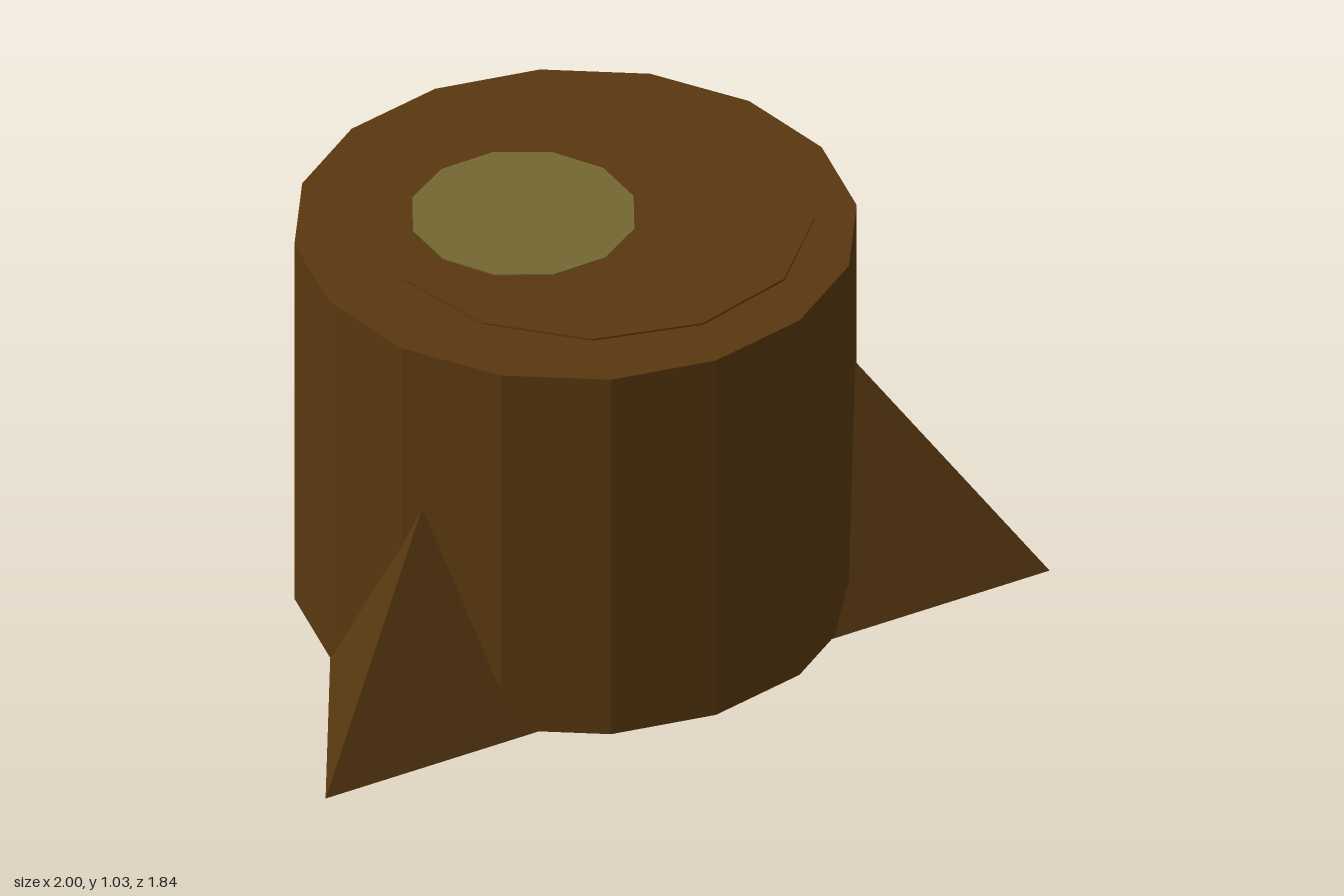
import * as THREE from 'three';

export function createModel() {
  const group = new THREE.Group();
  group.name = 'treeStump';

  const bark = new THREE.MeshStandardMaterial({ color: 0x59380f });
  bark.name = 'bark brown';
  const heart = new THREE.MeshStandardMaterial({ color: 0x746731 });
  heart.name = 'heartwood olive';

  // Faceted upright prism standing on height y, centred on (x, z)
  function prism(name, material, rTop, rBottom, height, sides, x, y, z, turn = 0) {
    const geometry = new THREE.CylinderGeometry(rTop, rBottom, height, sides)
      .rotateY(turn)
      .translate(0, height / 2, 0)
      .toNonIndexed();
    geometry.computeVertexNormals();
    const mesh = new THREE.Mesh(geometry, material);
    mesh.name = name;
    mesh.position.set(x, y, z);
    group.add(mesh);
    return mesh;
  }

  // Trunk
  prism('trunk', bark, 0.68, 0.68, 1.02, 16, -0.01, 0.005, 0.235);

  // Three pointed roots: corners of one tapering three-sided block through the trunk
  const roots = prism('roots', bark, 0.377, 1.155, 1.0, 3, 0, 0, 0.2, Math.PI);
  roots.scale.z = 0.97;

  // Growth ring and heartwood on the cut face
  prism('growthRing', bark, 0.53, 0.53, 0.005, 12, 0.04, 1.025, 0.235);
  prism('heartwood', heart, 0.275, 0.275, 0.005, 12, -0.1, 1.028, 0.14, 0.28);

  return group;
}
